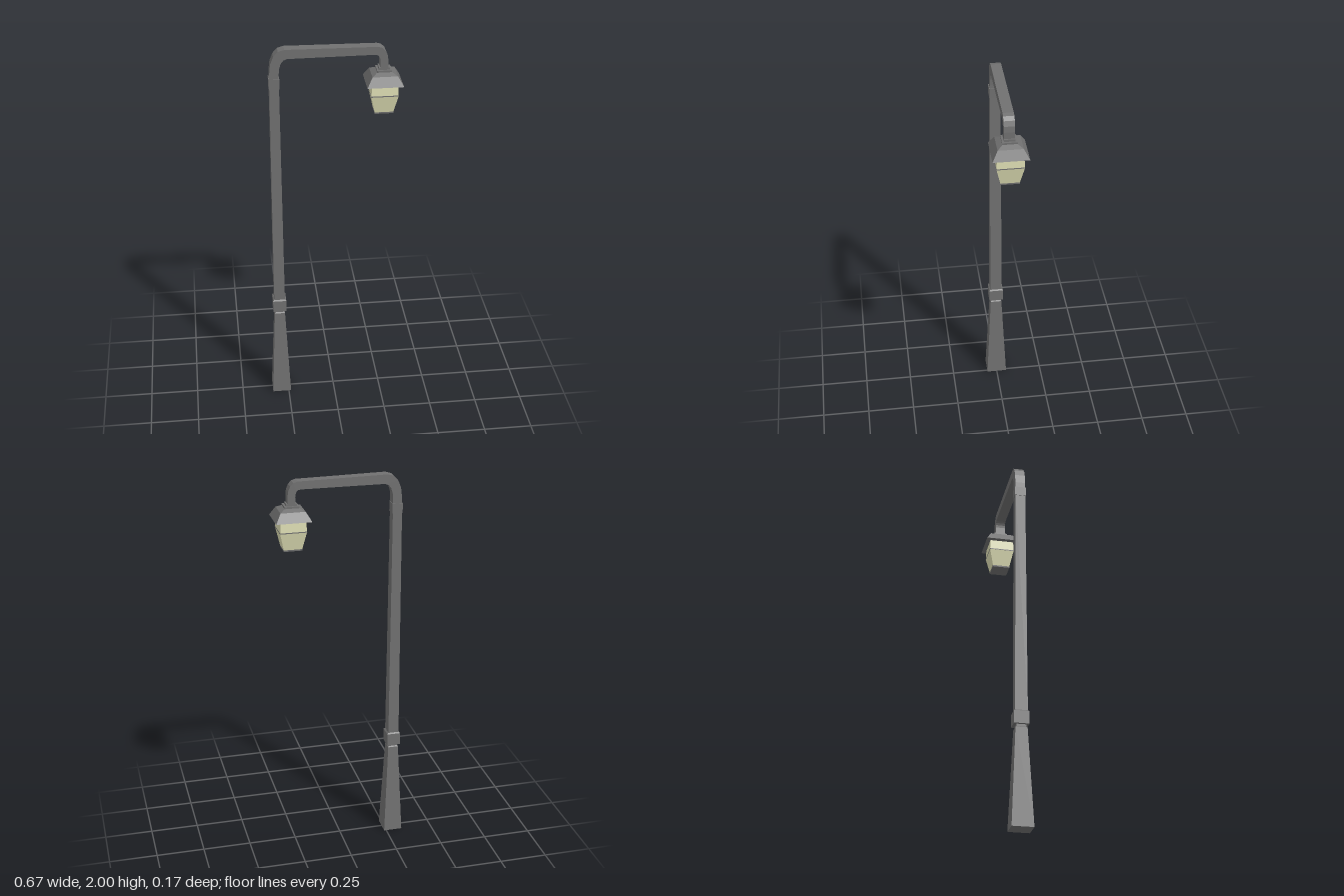
import * as THREE from 'three';

const metal = new THREE.MeshStandardMaterial({ color: 0x707070, flatShading: true });
const glass = new THREE.MeshStandardMaterial({ color: 0xdcdcb2, flatShading: true });

const POLE_X = -0.287;
const LAMP_X = 0.246;

// Closed square-section solid from [halfWidth, y] rows, bottom to top
function squareLoft(name, rows, x, depthRatio = 1, material = metal) {
  const r = rows.map(([half, y]) => new THREE.Vector2(half * Math.SQRT2, y));
  const points = [
    new THREE.Vector2(0, rows[0][1]), ...r, new THREE.Vector2(0, rows[rows.length - 1][1]),
  ];
  const geometry = new THREE.LatheGeometry(points, 4, Math.PI / 4);
  geometry.scale(1, 1, depthRatio);
  const mesh = new THREE.Mesh(geometry, material);
  mesh.name = name;
  mesh.position.x = x;
  return mesh;
}

// Bent arm: side outline extruded across the pole's depth
function makeArm() {
  const s = new THREE.Shape();
  s.moveTo(-0.311, 1.82);
  s.lineTo(-0.309, 1.88);
  s.bezierCurveTo(-0.308, 1.95, -0.28, 2.0, -0.235, 2.0);
  s.lineTo(0.215, 1.995);
  s.bezierCurveTo(0.245, 1.995, 0.265, 1.96, 0.265, 1.92);
  s.lineTo(0.265, 1.87);
  s.lineTo(0.227, 1.87);
  s.lineTo(0.227, 1.92);
  s.bezierCurveTo(0.226, 1.94, 0.218, 1.955, 0.2, 1.955);
  s.lineTo(-0.222, 1.953);
  s.bezierCurveTo(-0.25, 1.95, -0.263, 1.92, -0.264, 1.87);
  s.lineTo(-0.264, 1.82);
  const geometry = new THREE.ExtrudeGeometry(s, {
    depth: 0.052, bevelEnabled: false, curveSegments: 4,
  });
  geometry.translate(0, 0, -0.026);
  const mesh = new THREE.Mesh(geometry, metal);
  mesh.name = 'arm';
  return mesh;
}

function makeLantern() {
  const lantern = new THREE.Group();
  lantern.name = 'lantern';
  lantern.add(
    squareLoft('capPlate', [[0.036, 1.86], [0.036, 1.875], [0.026, 1.875], [0.026, 1.886]], LAMP_X),
    squareLoft('shade', [[0.089, 1.807], [0.062, 1.853], [0.036, 1.866]], LAMP_X, 0.98),
    squareLoft('upperGlass', [[0.066, 1.755], [0.064, 1.807]], LAMP_X, 1, glass),
    squareLoft('middleRail', [[0.067, 1.75], [0.067, 1.755]], LAMP_X),
    squareLoft('lowerGlass', [[0.046, 1.661], [0.066, 1.75]], LAMP_X, 1, glass),
    squareLoft('bottomPlate', [[0.046, 1.653], [0.047, 1.661]], LAMP_X),
  );
  return lantern;
}

export function createModel() {
  const model = new THREE.Group();
  model.name = 'streetLamp';
  model.add(
    // Tapered foot with a narrow neck under the collar
    squareLoft('base', [[0.049, 0], [0.027, 0.5], [0.022, 0.505], [0.022, 0.52]], POLE_X, 1.1),
    squareLoft('lowerCollar', [[0.035, 0.517], [0.035, 0.582], [0.029, 0.588]], POLE_X, 1.09),
    squareLoft('pole', [[0.028, 0.58], [0.0235, 1.82]], POLE_X, 1.12),
    squareLoft('upperCollar', [[0.026, 1.8], [0.026, 1.85]], POLE_X, 1.13),
    makeArm(),
    makeLantern(),
  );
  return model;
}
